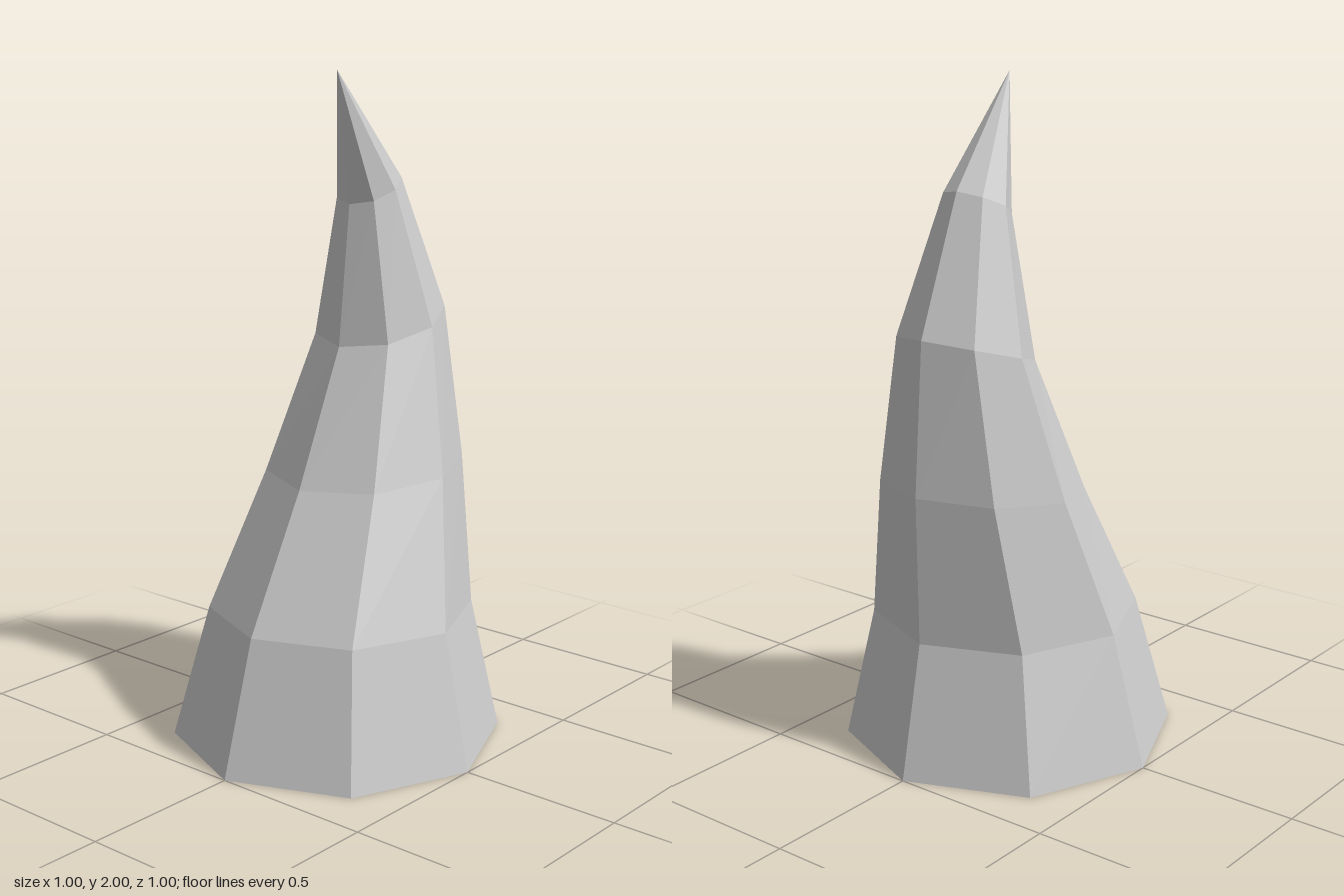
import * as THREE from 'three';

// Spine of the horn, base to tip: centre x, y, z and the tilt of each ring
const SPINE = [
  [0, 0, 0, 0],
  [0, 0.4, -0.018, 0],
  [-0.015, 0.82, -0.145, 0.1],
  [-0.027, 1.245, -0.232, 0.285],
  [-0.023, 1.65, -0.173, 0.43],
  [0, 2, 0, 0],
];

export function createModel() {
  const group = new THREE.Group();
  group.name = 'curvedHorn';

  // Eight-sided capped cone, with each ring moved and tilted onto the spine
  const geometry = new THREE.ConeGeometry(0.5, 2, 8, SPINE.length - 1);
  const pos = geometry.attributes.position;
  for (let i = 0; i < pos.count; i++) {
    const ring = Math.round((pos.getY(i) + 1) / 0.4);
    const [cx, cy, cz, tilt] = SPINE[ring];
    const z = pos.getZ(i);
    pos.setXYZ(i, cx + pos.getX(i), cy - z * Math.sin(tilt), cz + z * Math.cos(tilt));
  }
  geometry.computeVertexNormals();

  const material = new THREE.MeshStandardMaterial({ color: 0xcccccc, flatShading: true });
  const horn = new THREE.Mesh(geometry, material);
  horn.name = 'horn';
  group.add(horn);
  return group;
}
